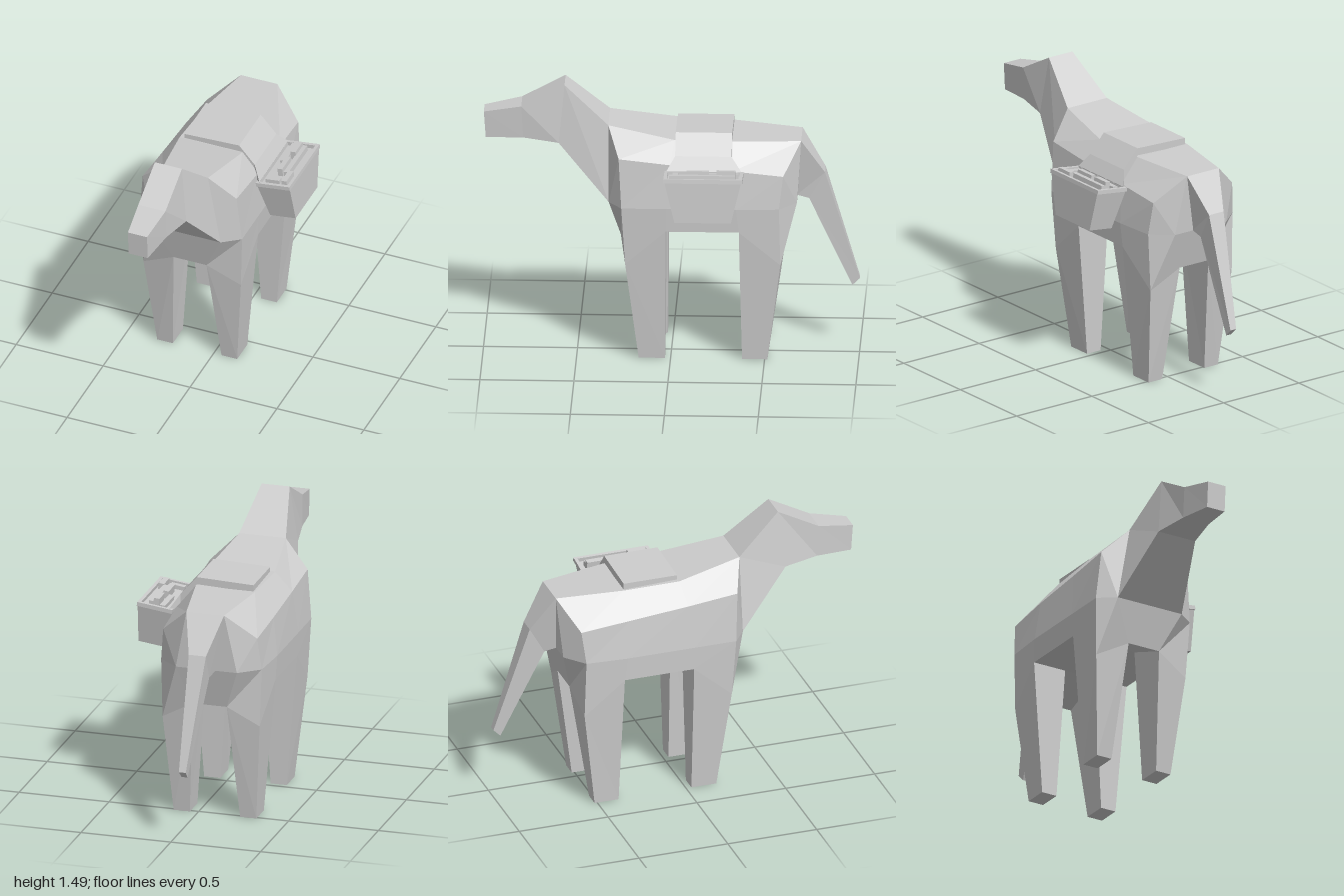
import * as THREE from 'three';

const CX = -0.095; // the animal's own centre line
const grey = new THREE.MeshStandardMaterial({ color: 0xcccccc });
grey.name = 'grey';
grey.flatShading = true;

const V = (p) => new THREE.Vector3(...p);
const mean = (pts) => pts.reduce((a, p) => a.add(V(p)), V([0, 0, 0])).divideScalar(pts.length);

// Skins a list of equal-length rings; faces are turned away from ref (or each segment's middle).
function loft(name, rings, { capStart = false, capEnd = false, ref = null, extra = [] } = {}) {
  const pos = [];
  const tri = (a, b, c, centre) => {
    const [A, B, C] = [V(a), V(b), V(c)];
    const n = B.clone().sub(A).cross(C.clone().sub(A));
    if (n.length() < 1e-8) return;
    const out = A.clone().add(B).add(C).divideScalar(3).sub(centre);
    pos.push(...a, ...(n.dot(out) < 0 ? [...c, ...b] : [...b, ...c]));
  };
  const quad = (a, b, c, d, centre) => {
    tri(a, b, c, centre);
    tri(a, c, d, centre);
  };
  const whole = ref ? V(ref) : mean(rings.flat());
  for (let k = 0; k + 1 < rings.length; k++) {
    const r = rings[k], s = rings[k + 1];
    const centre = ref ? whole : mean([...r, ...s]);
    r.forEach((p, i) => {
      const j = (i + 1) % r.length;
      quad(p, r[j], s[j], s[i], centre);
    });
  }
  const cap = (r) => { for (let i = 1; i + 1 < r.length; i++) tri(r[0], r[i], r[i + 1], whole); };
  if (capStart) cap(rings[0]);
  if (capEnd) cap(rings[rings.length - 1]);
  extra.forEach((q) => quad(...q, whole));
  const g = new THREE.BufferGeometry();
  g.setAttribute('position', new THREE.Float32BufferAttribute(pos, 3));
  g.computeVertexNormals();
  const mesh = new THREE.Mesh(g, grey);
  mesh.name = name;
  return mesh;
}

// Half section (half width, y, z) mirrored across the centre line into a closed ring
const side = (p, m, cx = CX) => [cx + m * p[0], p[1], p[2]];
const mirror = (half, cx = CX) => [
  ...half.map((p) => side(p, 1, cx)),
  ...half.slice().reverse().map((p) => side(p, -1, cx)),
];

function box(name, w, h, d, x, y, z) {
  const m = new THREE.Mesh(new THREE.BoxGeometry(w, h, d), grey);
  m.position.set(x, y, z);
  m.name = name;
  return m;
}

export function createModel() {
  const model = new THREE.Group();
  model.name = 'packAnimal';

  // Body sections: inner leg, outer leg, flank, shoulder, back
  const front = [[0.095, 0.65, 0.27], [0.28, 0.55, 0.24], [0.295, 0.87, 0.26], [0.27, 1.14, 0.275], [0.13, 1.28, 0.335]];
  const mid1 = [[0.095, 0.74, 0.025], [0.29, 0.74, 0.025], [0.295, 0.87, 0.025], [0.27, 1.11, 0], [0.18, 1.22, -0.02]];
  const mid2 = [[0.095, 0.74, -0.365], [0.29, 0.74, -0.365], [0.295, 0.87, -0.35], [0.27, 1.08, -0.33], [0.165, 1.21, -0.33]];
  const rear = [[0.095, 0.65, -0.61], [0.27, 0.55, -0.585], [0.28, 0.87, -0.578], [0.262, 1.05, -0.6], [0.105, 1.195, -0.69]];
  const chest = [0.2, 0.87, 0.33];
  const rump = [0.17, 0.87, -0.67];
  // Closes each end down to the chest or rump panel
  const close = (r, n) => [r[0], r[0], n, n, r[4]];
  const panels = (r, n) => [
    [side(r[0], 1), side(n, 1), side(n, -1), side(r[0], -1)],
    [side(n, 1), side(r[4], 1), side(r[4], -1), side(n, -1)],
  ];
  model.add(loft('body', [close(front, chest), front, mid1, mid2, rear, close(rear, rump)].map((r) => mirror(r)), {
    ref: [CX, 0.95, -0.15],
    extra: [...panels(front, chest), ...panels(rear, rump)],
  }));

  // Neck and head: lower and upper edge of each section
  model.add(loft('neckAndHead', [
    [chest, front[4]],
    [[0.115, 1.17, 0.6], [0.078, 1.485, 0.57]],
    [[0.08, 1.185, 0.79], [0.078, 1.36, 0.8]],
    [[0.055, 1.175, 0.99], [0.055, 1.32, 1]],
  ].map((r) => mirror(r)), { capEnd: true }));

  // Legs
  const legs = { front: [front, mid1, 0.17, 0.03], hind: [rear, mid2, -0.515, -0.38] };
  for (const [key, [end, mid, zEnd, zMid]] of Object.entries(legs)) {
    for (const m of [1, -1]) {
      const top = [end[0], end[1], mid[1], mid[0]];
      const foot = [[0.14, 0, zEnd], [0.23, 0, zEnd], [0.23, 0, zMid], [0.14, 0, zMid]];
      model.add(loft(key + 'Leg' + (m > 0 ? 'Left' : 'Right'),
        [top, foot].map((r) => r.map((p) => side(p, m))), { capEnd: true }));
    }
  }

  // Tail
  model.add(loft('tail', [
    mirror([[0.05, 0.87, -0.665], [0.105, 1.195, -0.69]]),
    mirror([[0.04, 0.85, -0.73], [0.048, 1.0, -0.815]], -0.09),
    mirror([[0.017, 0.36, -0.96], [0.019, 0.4, -1]], -0.064),
  ], { capEnd: true }));

  // Saddle pad with a flap down the loaded side: x, top y, thickness, front z, back z
  model.add(loft('saddlePad', [
    [-0.25, 1.245, 0.04, -0.025, -0.325],
    [0.065, 1.257, 0.04, -0.025, -0.325],
    [0.155, 1.155, 0.05, -0.025, -0.325],
    [0.2, 1.085, 0.03, 0.02, -0.38],
  ].map(([x, y, t, z0, z1]) => [[x, y, z0], [x, y, z1], [x, y - t, z1], [x, y - t, z0]]),
  { capStart: true, capEnd: true }));

  // Pannier basket, tilted against the flank
  const basket = new THREE.Group();
  basket.name = 'basket';
  const rect = (x, y, z, w, d) => [[x - w, y, z - d], [x + w, y, z - d], [x + w, y, z + d], [x - w, y, z + d]];
  basket.add(loft('basketShell', [rect(0.004, -0.24, 0, 0.074, 0.15), rect(0, -0.02, 0, 0.095, 0.203)],
    { capStart: true, capEnd: true }));
  for (const m of [1, -1]) {
    basket.add(box('basketRimLong', 0.018, 0.022, 0.42, m * 0.089, -0.01, 0));
    basket.add(box('basketRimShort', 0.16, 0.022, 0.018, 0, -0.01, m * 0.201));
  }
  // Cargo blocks: width, length, x, z, height
  [
    [0.028, 0.26, 0.03, -0.04, 0.03], [0.03, 0.17, -0.035, -0.1, 0.025],
    [0.03, 0.1, 0.055, 0.13, 0.035], [0.028, 0.12, -0.005, 0.03, 0.045],
    [0.08, 0.03, -0.02, 0.15, 0.022], [0.03, 0.1, 0.005, -0.12, 0.05],
  ].forEach(([w, d, x, z, h]) => basket.add(box('cargo', w, h, d, x, h / 2 - 0.02, z)));
  basket.position.set(0.28, 1.092, -0.18);
  basket.rotation.z = 0.13;
  model.add(basket);

  return model;
}
